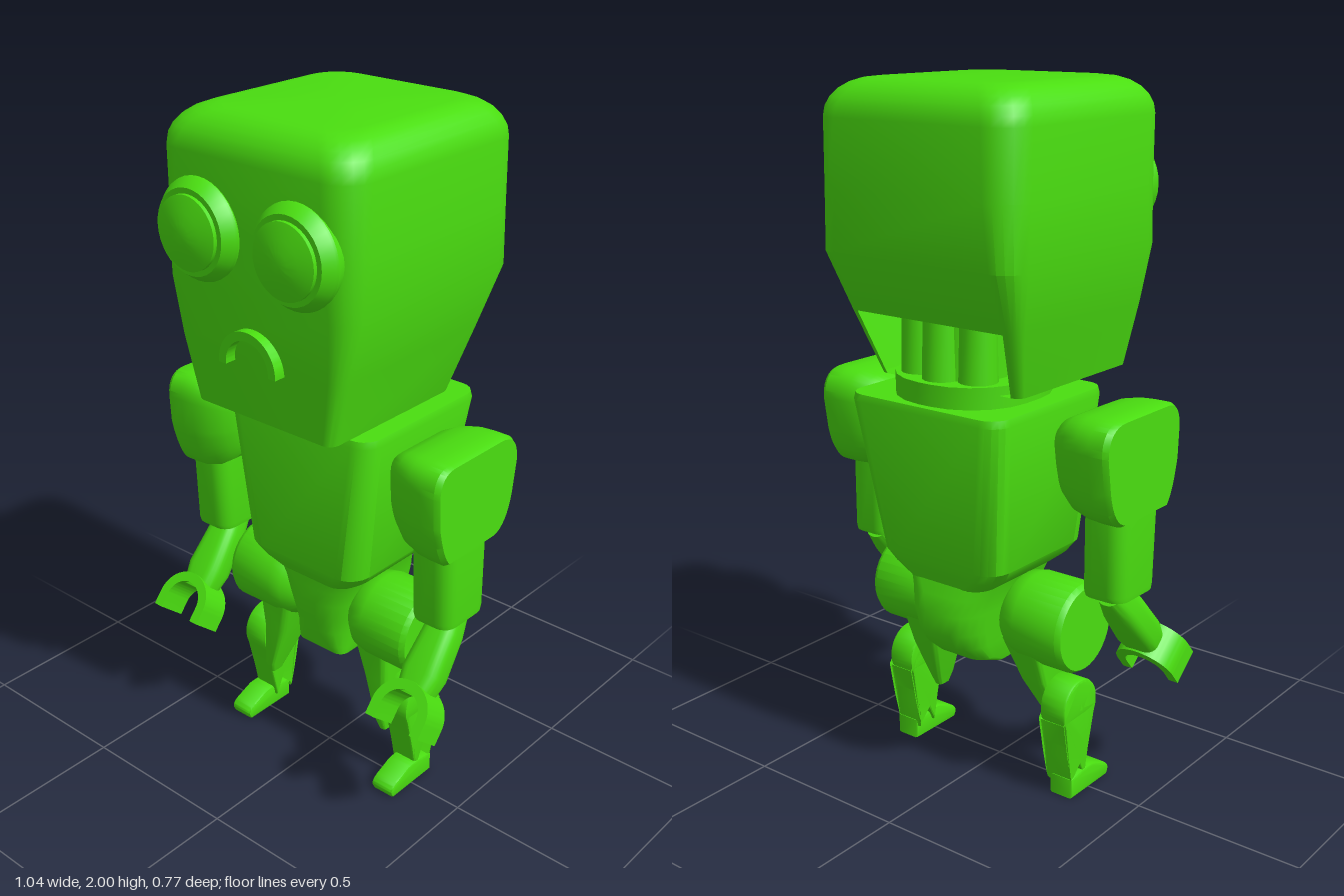
import * as THREE from 'three';
import { toCreasedNormals } from 'three/addons/utils/BufferGeometryUtils.js';

const green = new THREE.MeshStandardMaterial({ color: 0x4ade10, side: THREE.DoubleSide });
const STEPS = 5;

function part(parent, name, geometry, crease = 0.6) {
  const mesh = new THREE.Mesh(toCreasedNormals(geometry, crease), green);
  mesh.name = name;
  parent.add(mesh);
  return mesh;
}

// Rounded rectangle ring at height y
function ring([y, x0, x1, z0, z1, r]) {
  const pts = [];
  const corners = [[x1 - r, z1 - r], [x0 + r, z1 - r], [x0 + r, z0 + r], [x1 - r, z0 + r]];
  corners.forEach(([cx, cz], c) => {
    for (let i = 0; i <= STEPS; i++) {
      const a = (c + i / STEPS) * Math.PI / 2;
      pts.push(new THREE.Vector3(cx + r * Math.cos(a), y, cz + r * Math.sin(a)));
    }
  });
  return pts;
}

// Skin over rings from bottom to top; skip(level, segment) leaves an opening
function loft(rings, skip = () => false) {
  const n = rings[0].length;
  const out = [];
  const tri = (...p) => p.forEach(v => out.push(v.x, v.y, v.z));
  for (let k = 0; k + 1 < rings.length; k++) {
    for (let i = 0; i < n; i++) {
      if (skip(k, i)) continue;
      const j = (i + 1) % n, p = rings[k], q = rings[k + 1];
      tri(p[i], q[i], p[j]);
      tri(p[j], q[i], q[j]);
    }
  }
  const mid = r => r.reduce((s, v) => s.add(v), new THREE.Vector3()).divideScalar(n);
  const a = rings[0], b = rings[rings.length - 1], ca = mid(a), cb = mid(b);
  for (let i = 0; i < n; i++) {
    const j = (i + 1) % n;
    tri(ca, a[i], a[j]);
    tri(cb, b[j], b[i]);
  }
  const g = new THREE.BufferGeometry();
  g.setAttribute('position', new THREE.Float32BufferAttribute(out, 3));
  return g;
}
const block = sections => loft(sections.map(ring));
const lathe = (pts, sides = 32) =>
  new THREE.LatheGeometry(pts.map(p => new THREE.Vector2(...p)), sides);

// Side outline [z, y] made into a plate between x0 and x1
function plate(shape, x0, x1, bevel = 0.008) {
  const g = new THREE.ExtrudeGeometry(shape, {
    depth: x1 - x0 - 2 * bevel, bevelSize: bevel, bevelOffset: -bevel,
    bevelThickness: bevel, bevelSegments: 2, curveSegments: 14 });
  return g.rotateY(-Math.PI / 2).translate(x1 - bevel, 0, 0);
}

// Half ring that opens downward, with straight legs
function arch(outer, inner, leg, depth) {
  const s = new THREE.Shape();
  s.moveTo(outer, -leg);
  s.lineTo(outer, 0);
  s.absarc(0, 0, outer, 0, Math.PI, false);
  s.lineTo(-outer, -leg);
  s.lineTo(-inner, -leg);
  s.lineTo(-inner, 0);
  s.absarc(0, 0, inner, Math.PI, 0, true);
  s.lineTo(inner, -leg);
  return new THREE.ExtrudeGeometry(s, { depth, bevelEnabled: false, curveSegments: 20 });
}

function buildHead() {
  const head = new THREE.Group();
  head.name = 'head';
  const sections = [
    [1.2, -0.245, 0.245, -0.23, 0.275, 0.03],
    [1.385, -0.288, 0.288, -0.307, 0.292, 0.04],
    [1.55, -0.33, 0.33, -0.38, 0.303, 0.07],
    [1.72, -0.33, 0.33, -0.385, 0.308, 0.085]];
  // Rounded crown
  for (let i = 0; i <= 6; i++) {
    const a = i / 6 * Math.PI / 2, d = 0.1 * (1 - Math.cos(a));
    sections.push([1.9 + 0.1 * Math.sin(a), -0.33 + d, 0.33 - d, -0.385 + d, 0.312 - d, 0.09]);
  }
  // The lower back stays open around the neck
  const backSegment = 3 * (STEPS + 1) - 1;
  part(head, 'headShell', loft(sections.map(ring), (k, i) => k === 0 && i === backSegment), 0.5);
  part(head, 'headCeiling', block([
    [1.385, -0.28, 0.28, -0.3, 0.28, 0.03], [1.4, -0.28, 0.28, -0.3, 0.28, 0.03]]));
  for (const s of [-1, 1]) {
    part(head, s > 0 ? 'leftEye' : 'rightEye', lathe([
      [0.13, -0.03], [0.138, 0.008], [0.136, 0.016], [0.115, 0.045], [0.1, 0.045], [0.1, 0.056],
      [0.088, 0.06], [0.06, 0.068], [0.03, 0.075], [0, 0.077]], 36)
      .rotateX(Math.PI / 2).translate(s * 0.166, 1.705, 0.305), 0.45);
  }
  part(head, 'mouth', arch(0.1, 0.075, 0.006, 0.06).translate(0, 1.37, 0.265));
  return head;
}

function buildArm() {
  const arm = new THREE.Group();
  arm.name = 'arm';
  // Domed shoulder, built along x from inner side to outer face
  const outline = new THREE.Shape();
  outline.moveTo(0.1, 0.87);
  outline.quadraticCurveTo(0.13, 0.9, 0.15, 1.0);
  outline.lineTo(0.155, 1.09);
  outline.quadraticCurveTo(0.155, 1.165, 0.09, 1.165);
  outline.lineTo(-0.12, 1.165);
  outline.quadraticCurveTo(-0.205, 1.165, -0.205, 1.08);
  outline.lineTo(-0.19, 0.98);
  outline.quadraticCurveTo(-0.17, 0.88, -0.11, 0.87);
  const points = outline.getPoints(8);
  const layers = [[0.265, 0.3], [0.28, 0.55], [0.31, 0.76], [0.35, 0.91], [0.4, 0.985],
    [0.44, 1], [0.485, 1], [0.5, 0.95]];
  part(arm, 'shoulder', loft(layers.map(([x, k]) =>
    points.map(p => new THREE.Vector3(x, 1.04 + (p.y - 1.04) * k, -0.025 + (p.x + 0.025) * k)))), 0.55);
  part(arm, 'upperArm', block([
    [0.645, 0.355, 0.488, -0.105, 0.075, 0.04], [0.66, 0.352, 0.49, -0.11, 0.08, 0.045],
    [0.9, 0.352, 0.49, -0.11, 0.09, 0.045]]));
  part(arm, 'elbow', new THREE.CylinderGeometry(0.048, 0.048, 0.07, 20)
    .rotateZ(Math.PI / 2).translate(0.423, 0.645, -0.015));
  // Forearm and gripper lean forward from the elbow
  const fore = new THREE.Group();
  fore.name = 'lowerArm';
  fore.position.set(0.425, 0.63, -0.03);
  fore.rotation.x = -0.7;
  arm.add(fore);
  part(fore, 'forearm', block([
    [-0.25, -0.05, 0.05, -0.042, 0.042, 0.03], [-0.18, -0.062, 0.062, -0.05, 0.05, 0.035],
    [-0.05, -0.052, 0.052, -0.05, 0.05, 0.035], [0.03, -0.035, 0.035, -0.045, 0.045, 0.03]]));
  part(fore, 'gripper', arch(0.092, 0.062, 0.045, 0.105).translate(0.003, -0.305, -0.052));
  return arm;
}

function buildLeg() {
  const leg = new THREE.Group();
  leg.name = 'leg';
  part(leg, 'hip', lathe([[0, 0.07], [0.07, 0.09], [0.095, 0.11], [0.122, 0.14], [0.13, 0.18],
    [0.13, 0.325], [0.12, 0.34], [0, 0.34]]).rotateZ(-Math.PI / 2).translate(0, 0.52, -0.05));
  part(leg, 'thigh', block([
    [0.165, 0.215, 0.24, -0.02, 0.025, 0.01], [0.2, 0.205, 0.242, -0.04, 0.036, 0.012],
    [0.34, 0.16, 0.245, -0.115, 0.036, 0.02], [0.48, 0.125, 0.25, -0.165, 0.05, 0.02]]));
  // Shin with a round knee
  const shin = new THREE.Shape();
  shin.moveTo(-0.085, 0.04);
  shin.lineTo(-0.1, 0.14);
  shin.lineTo(-0.12, 0.24);
  shin.absarc(-0.045, 0.275, 0.08, -0.4, Math.PI + 0.4, false);
  shin.setFromPoints([
    new THREE.Vector2(-0.02, 0.04), new THREE.Vector2(0, 0.13),
    ...Array.from({ length: 15 }, (_, i) => {
      const a = -0.5 + i / 14 * (Math.PI + 1);
      return new THREE.Vector2(-0.045 + 0.08 * Math.cos(a), 0.27 + 0.08 * Math.sin(a));
    }),
    new THREE.Vector2(-0.1, 0.13), new THREE.Vector2(-0.085, 0.04)]);
  part(leg, 'shin', plate(shin, 0.24, 0.326));
  // Foot with a rounded toe
  const foot = new THREE.Shape();
  foot.moveTo(-0.09, 0);
  foot.lineTo(0.09, 0);
  foot.quadraticCurveTo(0.115, 0.03, 0.07, 0.048);
  foot.lineTo(0.02, 0.068);
  foot.quadraticCurveTo(-0.03, 0.075, -0.09, 0.06);
  part(leg, 'foot', plate(foot, 0.252, 0.33));
  return leg;
}

export function createModel() {
  const model = new THREE.Group();
  model.name = 'robot';
  model.add(buildHead());

  // Neck base with upright columns behind
  part(model, 'neckBase', block([
    [1.12, -0.2, 0.2, -0.325, 0.1, 0.18], [1.225, -0.2, 0.2, -0.325, 0.1, 0.18]]));
  part(model, 'neckCore', new THREE.CylinderGeometry(0.13, 0.13, 0.2, 28).translate(0, 1.3, -0.14));
  for (const x of [-0.1, 0, 0.1]) {
    part(model, 'neckColumn', new THREE.CylinderGeometry(0.05, 0.055, 0.2, 18)
      .translate(x, 1.3, x === 0 ? -0.25 : -0.22));
  }

  // Torso runs down into the pelvis
  part(model, 'torso', block([
    [0.64, -0.14, 0.14, -0.27, 0.1, 0.06], [0.675, -0.185, 0.185, -0.285, 0.125, 0.07],
    [0.71, -0.21, 0.21, -0.298, 0.142, 0.07], [1.145, -0.263, 0.263, -0.352, 0.153, 0.06],
    [1.165, -0.258, 0.258, -0.347, 0.148, 0.055]]), 0.5);
  part(model, 'pelvis', block([
    [0.375, -0.09, 0.09, -0.13, 0.05, 0.03], [0.4, -0.096, 0.096, -0.2, 0.06, 0.05],
    [0.45, -0.102, 0.102, -0.265, 0.075, 0.08], [0.5, -0.11, 0.11, -0.293, 0.088, 0.09],
    [0.56, -0.118, 0.118, -0.3, 0.1, 0.09], [0.61, -0.128, 0.128, -0.285, 0.1, 0.08],
    [0.67, -0.15, 0.15, -0.26, 0.1, 0.06]]), 0.7);

  // Limbs, mirrored to both sides
  for (const s of [1, -1]) {
    const limbs = new THREE.Group();
    limbs.name = s > 0 ? 'leftLimbs' : 'rightLimbs';
    limbs.add(buildArm(), buildLeg());
    limbs.scale.x = s;
    model.add(limbs);
  }
  return model;
}
